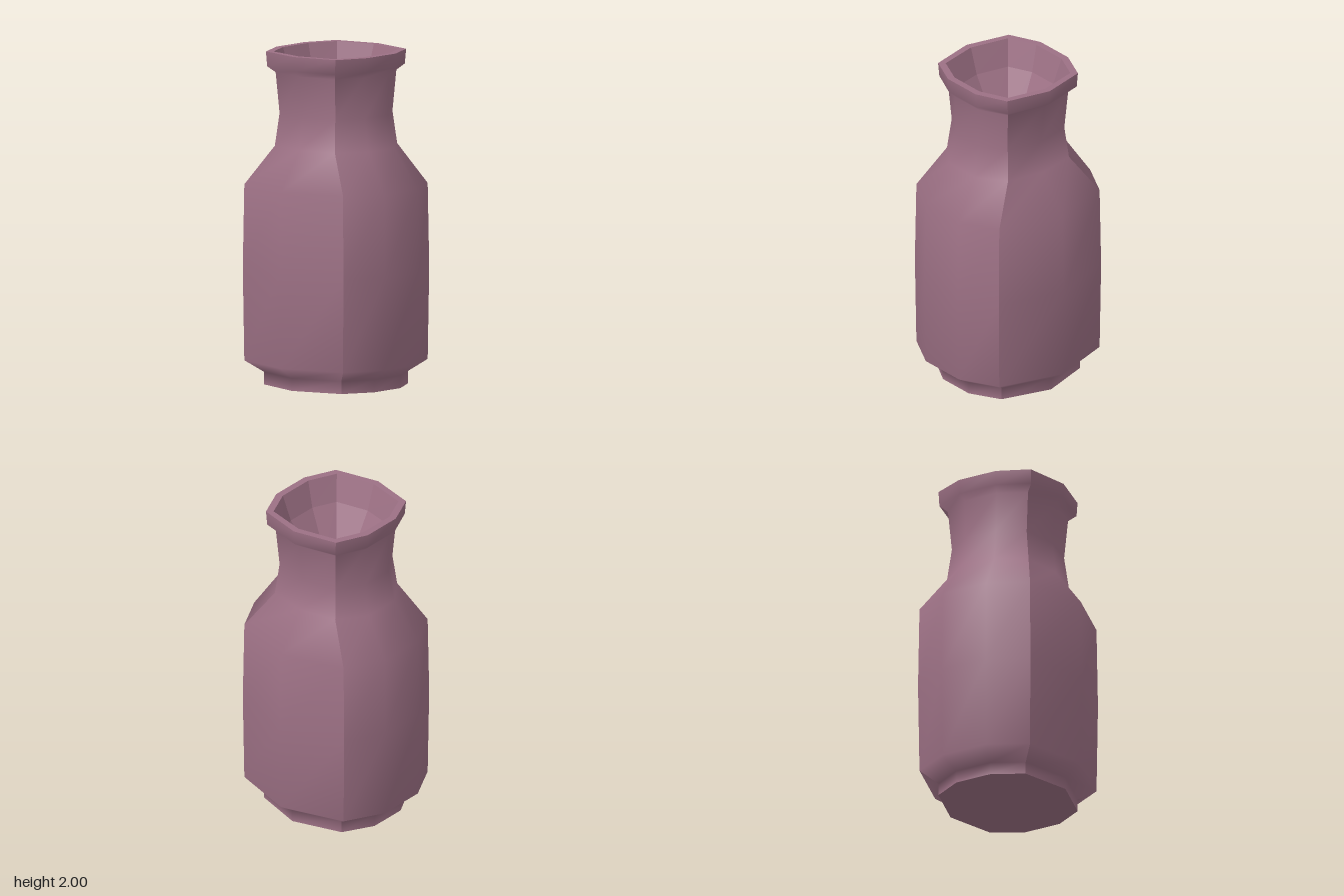
import * as THREE from 'three';

// A ring is [y, sideX, cornerX, cornerZ, frontX, frontZ]: a ten-sided, softly squared outline
const ringPoints = ([y, a, b, c, d, e]) =>
  [[a, 0], [b, c], [d, e], [-d, e], [-b, c], [-a, 0], [-b, -c], [-d, -e], [d, -e], [b, -c]]
    .map(([x, z]) => new THREE.Vector3(x, y, z));

// Four panels that meet in sharp vertical corners
const PANELS = [[9, 0, 1], [1, 2, 3, 4], [4, 5, 6], [6, 7, 8, 9]];

// Skin a panel through the rings; its vertices are shared, so it shades smoothly
function loftPanel(rings, columns) {
  const pos = [], index = [], n = columns.length;
  rings.forEach((ring, i) => {
    const pts = ringPoints(ring);
    columns.forEach((c, j) => {
      pos.push(...pts[c].toArray());
      if (i === 0 || j === 0) return;
      const q = i * n + j, p = q - n;
      index.push(p - 1, q - 1, p, p, q - 1, q);
    });
  });
  const geo = new THREE.BufferGeometry();
  geo.setAttribute('position', new THREE.Float32BufferAttribute(pos, 3));
  geo.setIndex(index);
  geo.computeVertexNormals();
  return geo;
}

function loft(name, rings, material) {
  const part = new THREE.Group();
  part.name = name;
  PANELS.forEach((columns, i) => {
    const mesh = new THREE.Mesh(loftPanel(rings, columns), material);
    mesh.name = `${name}Panel${i + 1}`;
    part.add(mesh);
  });
  return part;
}

export function createModel() {
  const color = 0x9c7084;
  const smooth = new THREE.MeshStandardMaterial({ color });
  const faceted = new THREE.MeshStandardMaterial({ color, flatShading: true });

  // Outside, from foot to lip
  const outer = [
    [0, 0.395, 0.3, 0.305, 0.118, 0.405],
    [0.075, 0.395, 0.3, 0.305, 0.118, 0.405],
    [0.145, 0.5, 0.38, 0.39, 0.15, 0.512],
    [0.7, 0.51, 0.386, 0.397, 0.153, 0.52],
    [1.2, 0.5, 0.38, 0.39, 0.15, 0.512],
    [1.435, 0.328, 0.28, 0.237, 0.115, 0.357],
    [1.63, 0.305, 0.257, 0.22, 0.105, 0.322],
    [1.875, 0.33, 0.275, 0.235, 0.11, 0.32],
    [1.912, 0.378, 0.315, 0.267, 0.123, 0.355],
    [2, 0.382, 0.317, 0.275, 0.126, 0.36],
  ];
  // Inside, from mouth to floor
  const inner = [
    [2, 0.34, 0.286, 0.242, 0.115, 0.318],
    [1.84, 0.287, 0.242, 0.205, 0.097, 0.27],
    [1.6, 0.145, 0.123, 0.105, 0.05, 0.136],
  ];
  const centre = (y) => [y, 0, 0, 0, 0, 0];

  const model = new THREE.Group();
  model.name = 'vase';
  model.add(
    loft('base', [centre(0), outer[0]], faceted),
    loft('body', outer, smooth),
    loft('rim', [outer[outer.length - 1], inner[0]], faceted),
    loft('innerWall', inner, faceted),
    loft('innerFloor', [inner[2], centre(inner[2][0])], faceted),
  );
  return model;
}
